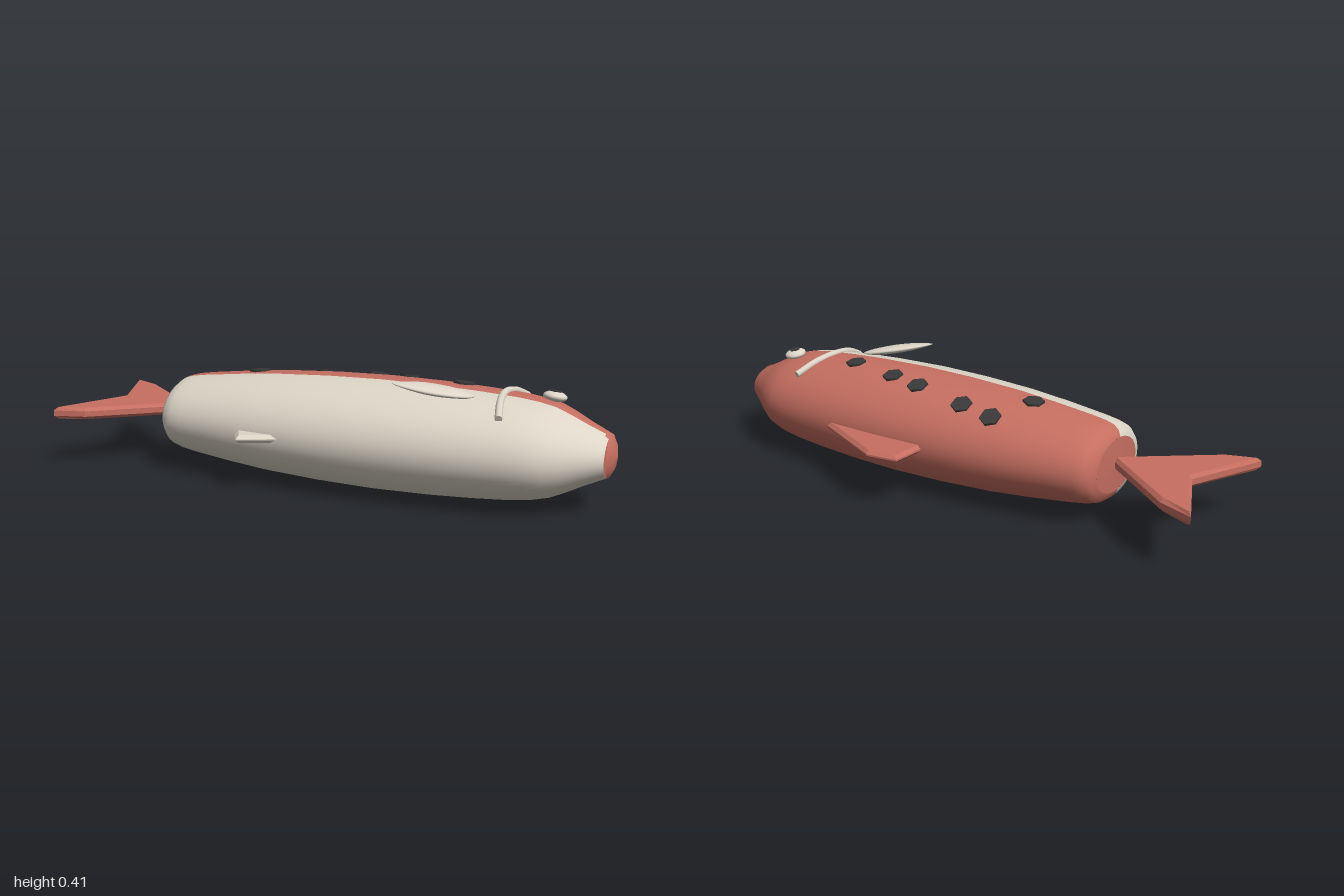
import * as THREE from 'three';

const CY = 0.19, CZ = 0.046, FLAT = 0.69;   // body axis and its height to width ratio
const SPLIT = THREE.MathUtils.degToRad(83); // half angle of the pale belly

const mat = (name, color) => {
  const m = new THREE.MeshStandardMaterial({ color });
  m.name = name;
  return m;
};

// half widths along the body, tail to snout: [x, radius]
const PROFILE = [[-0.608, 0.135], [-0.6, 0.165], [-0.58, 0.188], [-0.55, 0.2], [-0.5, 0.211],
  [-0.35, 0.236], [-0.2, 0.256], [0, 0.271], [0.2, 0.277], [0.4, 0.272], [0.55, 0.262], [0.68, 0.249],
  [0.75, 0.235], [0.8, 0.217], [0.85, 0.185], [0.9, 0.148], [0.95, 0.115], [0.972, 0.1]];

function radiusAt(x) {
  const i = Math.max(1, PROFILE.findIndex(p => p[0] >= x));
  const [a, b] = [PROFILE[i - 1], PROFILE[i]];
  return a[1] + (b[1] - a[1]) * (x - a[0]) / (b[0] - a[0]);
}
const topAt = (x, z) => {
  const r = radiusAt(x), d = z - CZ;
  return CY + FLAT * Math.sqrt(Math.max(0, r * r - d * d));
};
function normalAt(x, z) {
  const e = 0.02;
  return new THREE.Vector3(topAt(x - e, z) - topAt(x + e, z), 2 * e,
    topAt(x, z - e) - topAt(x, z + e)).normalize();
}

export function createModel() {
  const group = new THREE.Group();
  const red = mat('salmon red', 0xc66f61);
  const cream = mat('cream', 0xdcd5c7);
  const black = mat('charcoal', 0x393939);

  const add = (name, geo, material) => {
    const mesh = new THREE.Mesh(geo, material);
    mesh.name = name;
    group.add(mesh);
    return mesh;
  };

  // flattened lathe running along x
  function hull(name, points, material, start = 0, length = Math.PI * 2, flat = FLAT) {
    const geo = new THREE.LatheGeometry(points.map(([x, r]) => new THREE.Vector2(r, x)),
      Math.round(length * 10), start, length);
    geo.scale(flat, 1, 1).rotateZ(-Math.PI / 2).translate(0, CY, CZ);
    return add(name, geo, material);
  }
  hull('belly', PROFILE, cream, -SPLIT, 2 * SPLIT);
  hull('back', PROFILE, red, SPLIT, 2 * Math.PI - 2 * SPLIT);
  hull('tailCap', [[-0.613, 0], [-0.608, 0.135]], red);
  hull('snoutBase', [[0.972, 0.1], [0.982, 0]], red);
  hull('snout', [[0.96, 0.082], [0.975, 0.075], [0.99, 0.045], [0.998, 0]], red, 0, Math.PI * 2, 0.95);

  // bevelled plates lying flat, outlines given as [x, z]
  function plate(name, outline, thickness, y, material) {
    const shape = new THREE.Shape(outline.map(([x, z]) => new THREE.Vector2(x, -z)));
    const b = 0.012;
    const geo = new THREE.ExtrudeGeometry(shape, { depth: thickness - 2 * b, bevelThickness: b,
      bevelSize: b, bevelOffset: -b, bevelSegments: 1 });
    geo.translate(0, 0, b - thickness / 2).rotateX(-Math.PI / 2).translate(0, y, 0);
    return add(name, geo, material);
  }
  plate('tailFin', [[-0.59, 0.045], [-0.877, -0.187], [-1, -0.235], [-0.88, 0.04], [-1, 0.318],
    [-0.885, 0.285]], 0.044, 0.195, red);
  plate('dorsalFin', [[0, -0.15], [0.42, -0.15], [0.42, -0.232], [0.12, -0.371], [0.005, -0.355]],
    0.03, 0.191, red);
  plate('ventralFin', [[-0.3, 0.22], [-0.265, 0.275], [-0.21, 0.37], [-0.08, 0.306], [-0.06, 0.22]],
    0.028, 0.192, cream);

  // leaf-shaped side fin, pointed at the free end
  const leaf = new THREE.SphereGeometry(1, 24, 16);
  const p = leaf.attributes.position;
  for (let i = 0; i < p.count; i++) {
    const u = p.getX(i), taper = u > 0 ? 1 - 0.45 * u * u : 1;
    p.setXYZ(i, u * 0.138, p.getY(i) * 0.015 * taper, p.getZ(i) * 0.05 * taper);
  }
  leaf.computeVertexNormals();
  const along = new THREE.Vector3(-0.23, 0.045, 0.125).normalize();
  const across = new THREE.Vector3(0.125, -0.03, 0.23).normalize();
  const up = new THREE.Vector3().crossVectors(across, along).normalize();
  across.crossVectors(along, up);
  leaf.applyMatrix4(new THREE.Matrix4().makeBasis(along, up, across));
  add('sideFin', leaf, cream).position.set(0.424, 0.386, 0.189);

  // gill ridge
  const gillPoints = [[0.653, 0.322, -0.136], [0.633, 0.355, -0.05], [0.623, 0.367, 0.045],
    [0.633, 0.355, 0.14], [0.653, 0.32, 0.226]].map(v => new THREE.Vector3(...v));
  const gillCurve = new THREE.CatmullRomCurve3(gillPoints);
  add('gill', new THREE.TubeGeometry(gillCurve, 32, 0.0125, 10), cream);
  for (const t of [0, 1]) {
    const cap = add('gillEnd', new THREE.CircleGeometry(0.0125, 10), cream);
    const dir = gillCurve.getTangent(t).multiplyScalar(t ? 1 : -1);
    cap.position.copy(gillCurve.getPoint(t));
    cap.quaternion.setFromUnitVectors(new THREE.Vector3(0, 0, 1), dir);
  }

  // eye with hexagonal pupil
  const Y = new THREE.Vector3(0, 1, 0);
  const eye = new THREE.Group();
  eye.name = 'eye';
  const ball = new THREE.Mesh(new THREE.SphereGeometry(0.04, 24, 16).scale(1, 0.45, 1), cream);
  ball.name = 'eyeball';
  const pupil = new THREE.Mesh(new THREE.CylinderGeometry(0.02, 0.02, 0.008, 6), black);
  pupil.name = 'pupil';
  pupil.position.y = 0.0155;
  eye.add(ball, pupil);
  eye.position.set(0.775, 0.355, -0.011);
  eye.quaternion.setFromUnitVectors(Y, new THREE.Vector3(0.1, 1, -0.15).normalize());
  group.add(eye);

  // dark hexagonal spots lying on the skin
  const spotGeo = new THREE.CylinderGeometry(0.038, 0.038, 0.014, 6);
  for (const [x, z] of [[-0.3, 0.016], [-0.215, -0.12], [-0.087, -0.107], [0.125, -0.076],
    [0.255, -0.053], [0.465, -0.011]]) {
    const spot = add('spot', spotGeo, black);
    spot.position.set(x, topAt(x, z), z);
    spot.quaternion.setFromUnitVectors(Y, normalAt(x, z));
  }
  return group;
}
